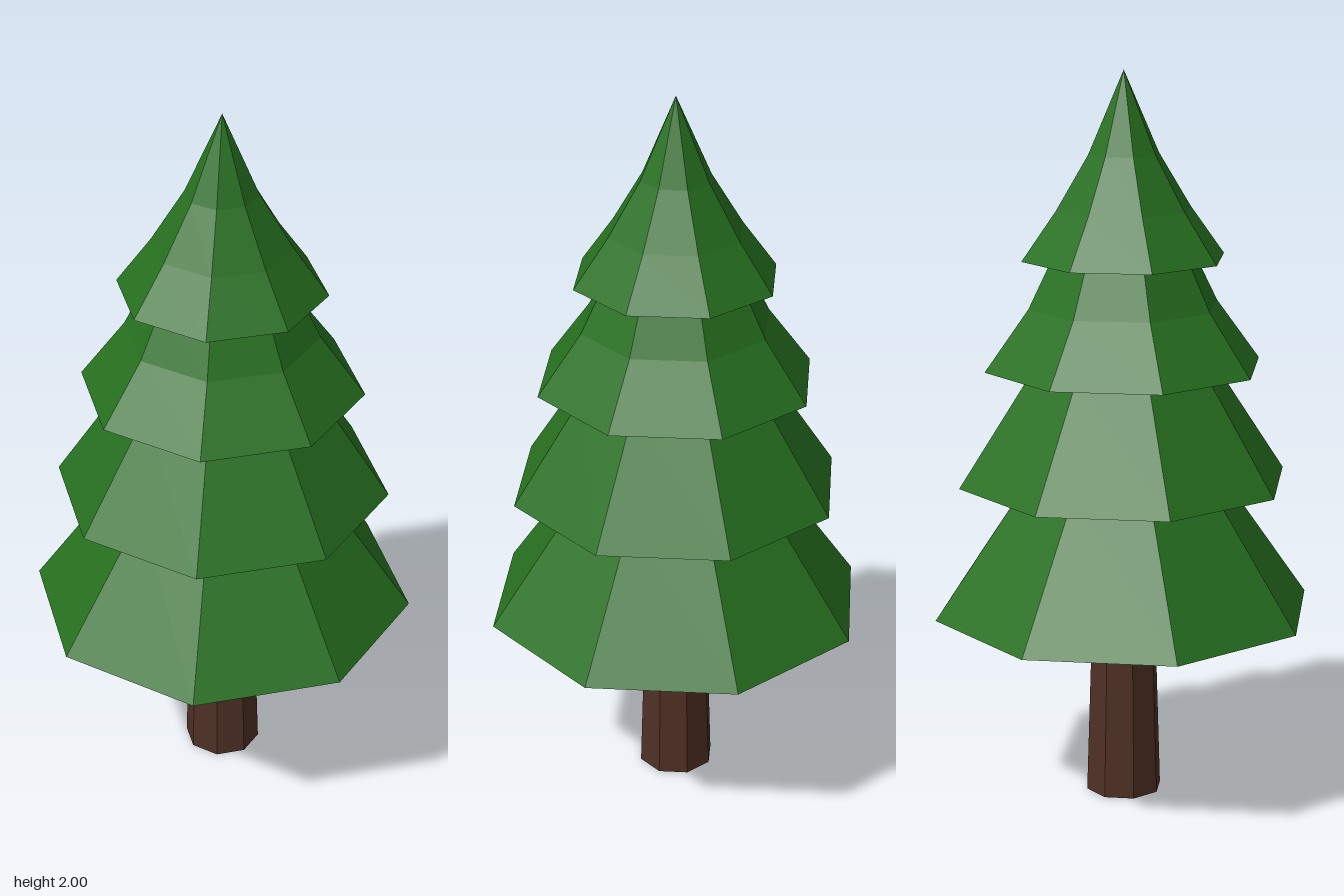
import * as THREE from 'three';

const SIDES = 8;

// Eight-sided solid turned from [radius, height] points, listed from bottom to top
function turned(name, profile, material) {
  const points = profile.map(([r, y]) => new THREE.Vector2(r, y));
  const mesh = new THREE.Mesh(new THREE.LatheGeometry(points, SIDES), material);
  mesh.name = name;
  return mesh;
}

export function createModel() {
  const tree = new THREE.Group();
  tree.name = 'pineTree';

  const bark = new THREE.MeshStandardMaterial({ color: 0x4e3024, flatShading: true });
  const needles = new THREE.MeshStandardMaterial({ color: 0x26701f, flatShading: true });

  // Tapered trunk, closed at the foot
  tree.add(turned('trunk', [[0, 0], [0.106, 0], [0.09, 0.5], [0, 0.5]], bark));

  // Foliage tiers: rim radius, rim height, and the slope above the rim
  const tiers = [
    { r: 0.528, y: 0.53, slope: [[0.27, 0.9], [0.15, 1.08], [0, 1.25]] },
    { r: 0.457, y: 0.895, slope: [[0.25, 1.21], [0.14, 1.37], [0, 1.55]] },
    { r: 0.383, y: 1.21, slope: [[0.262, 1.375], [0.2, 1.5], [0, 1.72]] },
    { r: 0.28, y: 1.503, slope: [[0.185, 1.635], [0.097, 1.78], [0, 2]] },
  ];

  const foliage = new THREE.Group();
  foliage.name = 'foliage';
  tiers.forEach(({ r, y, slope }, i) => {
    // Underside bulges down in the middle, with a groove inside the rim
    const s = r / 0.528;
    const underside = [
      [0, y - 0.065 * s],
      [0.09 * s, y - 0.062 * s],
      [0.31 * s, y - 0.025 * s],
      [0.41 * s, y + 0.03 * s],
    ];
    foliage.add(turned(`foliageTier${i + 1}`, [...underside, [r, y], ...slope], needles));
  });
  tree.add(foliage);

  return tree;
}
